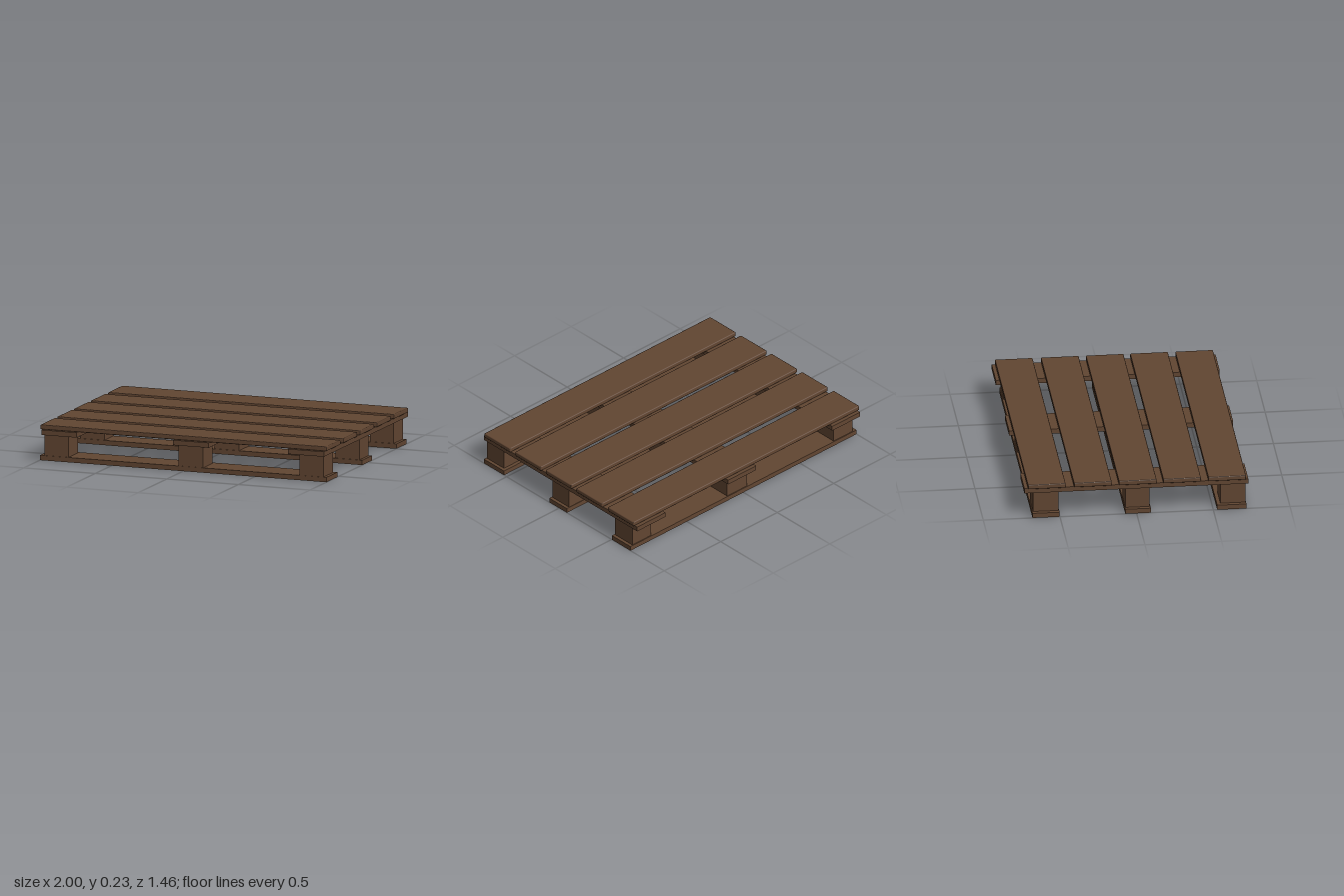
import * as THREE from 'three';
import { RoundedBoxGeometry } from 'three/addons/geometries/RoundedBoxGeometry.js';

export function createModel() {
  const pallet = new THREE.Group();
  pallet.name = 'pallet';
  const wood = new THREE.MeshStandardMaterial({ color: 0x624632 });
  wood.name = 'brown wood';

  // Adds a board spanning the given [min, max] ranges, with softened edges if a bevel is given
  function addBoard(name, [x0, x1], [y0, y1], [z0, z1], bevel = 0) {
    const size = [x1 - x0, y1 - y0, z1 - z0];
    const geometry = bevel
      ? new RoundedBoxGeometry(...size, 1, bevel)
      : new THREE.BoxGeometry(...size);
    const mesh = new THREE.Mesh(geometry, wood);
    mesh.name = name;
    mesh.position.set((x0 + x1) / 2, (y0 + y1) / 2, (z0 + z1) / 2);
    pallet.add(mesh);
  }

  // Deck slats running across the top
  const slatCentres = [-0.585, -0.285, 0.008, 0.297, 0.591];
  for (const z of slatCentres) {
    addBoard('deckSlat', [-1, 1], [0.203, 0.234], [z - 0.123, z + 0.123], 0.006);
  }

  // Cross boards under the deck, running front to back
  const crossBoards = [[-0.985, -0.738], [-0.065, 0.183], [0.738, 0.988]];
  for (const x of crossBoards) {
    addBoard('crossBoard', x, [0.17, 0.203], [-0.73, 0.73]);
  }

  // Bottom runners, each carrying a row of spacer blocks
  const rows = [
    { runner: [-0.679, -0.502], block: [-0.673, -0.507] },
    { runner: [-0.074, 0.093], block: [-0.071, 0.088] },
    { runner: [0.525, 0.716], block: [0.549, 0.713] },
  ];
  const blockColumns = [[-0.97, -0.803], [-0.035, 0.139], [0.813, 0.978]];
  for (const { runner, block } of rows) {
    addBoard('bottomRunner', [-1, 1], [0, 0.032], runner);
    for (const x of blockColumns) addBoard('spacerBlock', x, [0.032, 0.17], block);
  }

  return pallet;
}
